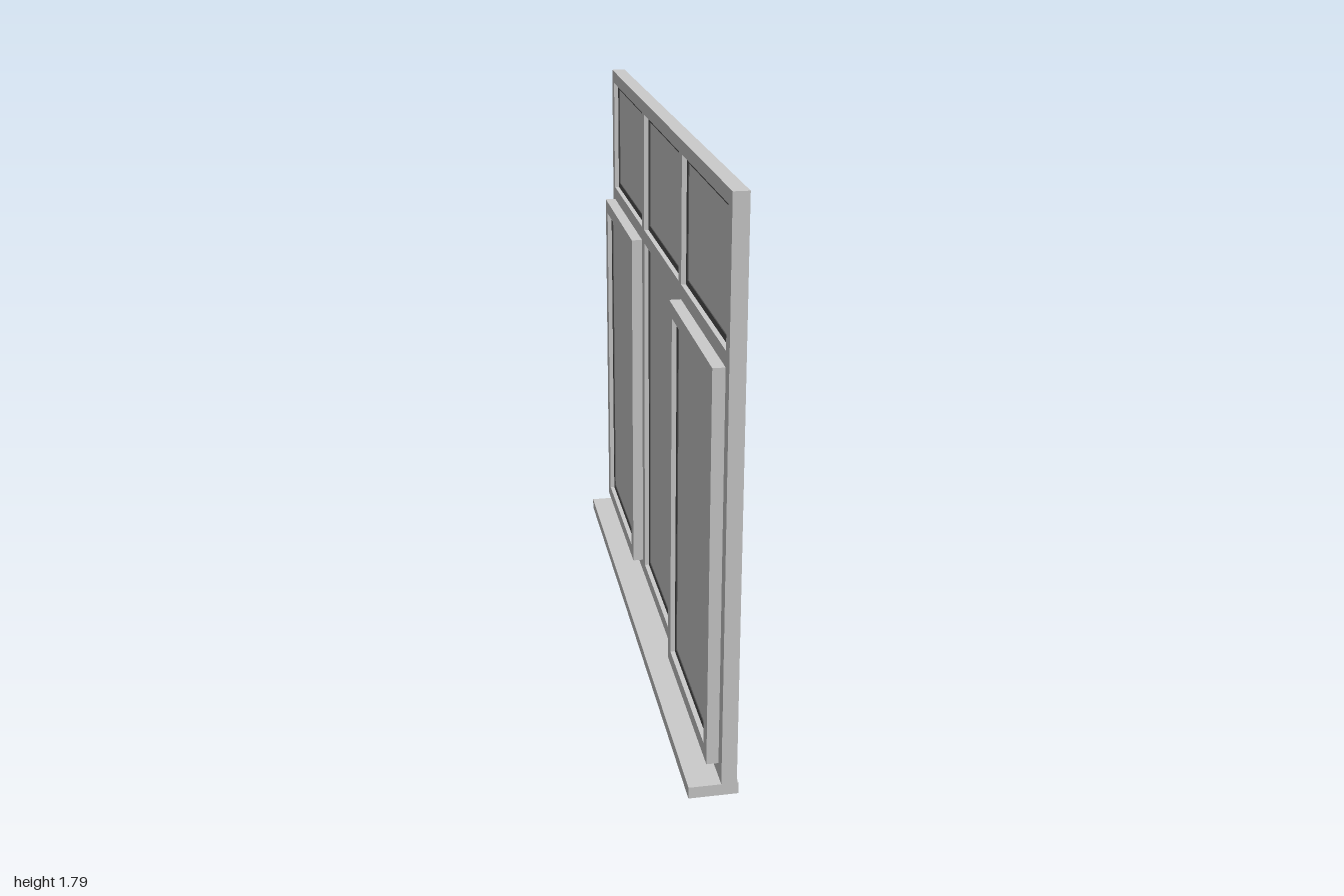
import * as THREE from 'three';

const grey = new THREE.MeshStandardMaterial({ color: 0xcccccc });
const rubber = new THREE.MeshStandardMaterial({ color: 0x505050 });

// Openings are [zMin, zMax, yMin, yMax] in the plane of the window
function inset([z0, z1, y0, y1], d) {
  return [z0 + d, z1 - d, y0 + d, y1 - d];
}

function rectangle(Type, [z0, z1, y0, y1]) {
  const r = new Type();
  r.moveTo(-z1, y0);
  r.lineTo(-z0, y0);
  r.lineTo(-z0, y1);
  r.lineTo(-z1, y1);
  r.closePath();
  return r;
}

// Flat panel with rectangular holes, spanning x0 to x1 in depth
function panel(name, outer, holes, x0, x1, material) {
  const shape = rectangle(THREE.Shape, outer);
  holes.forEach((h) => shape.holes.push(rectangle(THREE.Path, h)));
  const geometry = new THREE.ExtrudeGeometry(shape, { depth: x1 - x0, bevelEnabled: false });
  geometry.rotateY(Math.PI / 2);
  geometry.translate(x0, 0, 0);
  const mesh = new THREE.Mesh(geometry, material);
  mesh.name = name;
  return mesh;
}

// Glass pane with its dark seal, centred on depth x
function glazing(opening, x) {
  const group = new THREE.Group();
  group.name = 'glazing';
  const inner = inset(opening, 0.02);
  group.add(panel('seal', opening, [inner], x - 0.008, x + 0.008, rubber));
  group.add(panel('glass', inner, [], x - 0.005, x + 0.005, grey));
  return group;
}

export function createModel() {
  const model = new THREE.Group();
  model.name = 'window';

  const columns = [[-0.958, -0.347], [-0.304, 0.304], [0.347, 0.958]];
  const upper = columns.map(([a, b]) => [a, b, 1.353, 1.745]);
  const lower = columns.map(([a, b]) => [a, b, 0.081, 1.307]);

  // Main frame with mullions and transom
  model.add(panel('frame', [-1, 1, 0.037, 1.787], [...upper, ...lower], 0.021, 0.067, grey));

  // Fixed panes
  [...upper, lower[1]].forEach((o) => model.add(glazing(o, 0.044)));

  // Side casements standing proud of the frame on the sill side
  [lower[0], lower[2]].forEach((o) => {
    const sash = new THREE.Group();
    sash.name = 'casement';
    const opening = inset(o, 0.044);
    sash.add(panel('sashFrame', o, [opening], -0.015, 0.031, grey), glazing(opening, 0.008));
    model.add(sash);
  });

  // Sill
  const sill = new THREE.Mesh(new THREE.BoxGeometry(0.148, 0.037, 2), grey);
  sill.name = 'sill';
  sill.position.set(-0.002, 0.0185, 0);
  model.add(sill);

  return model;
}
